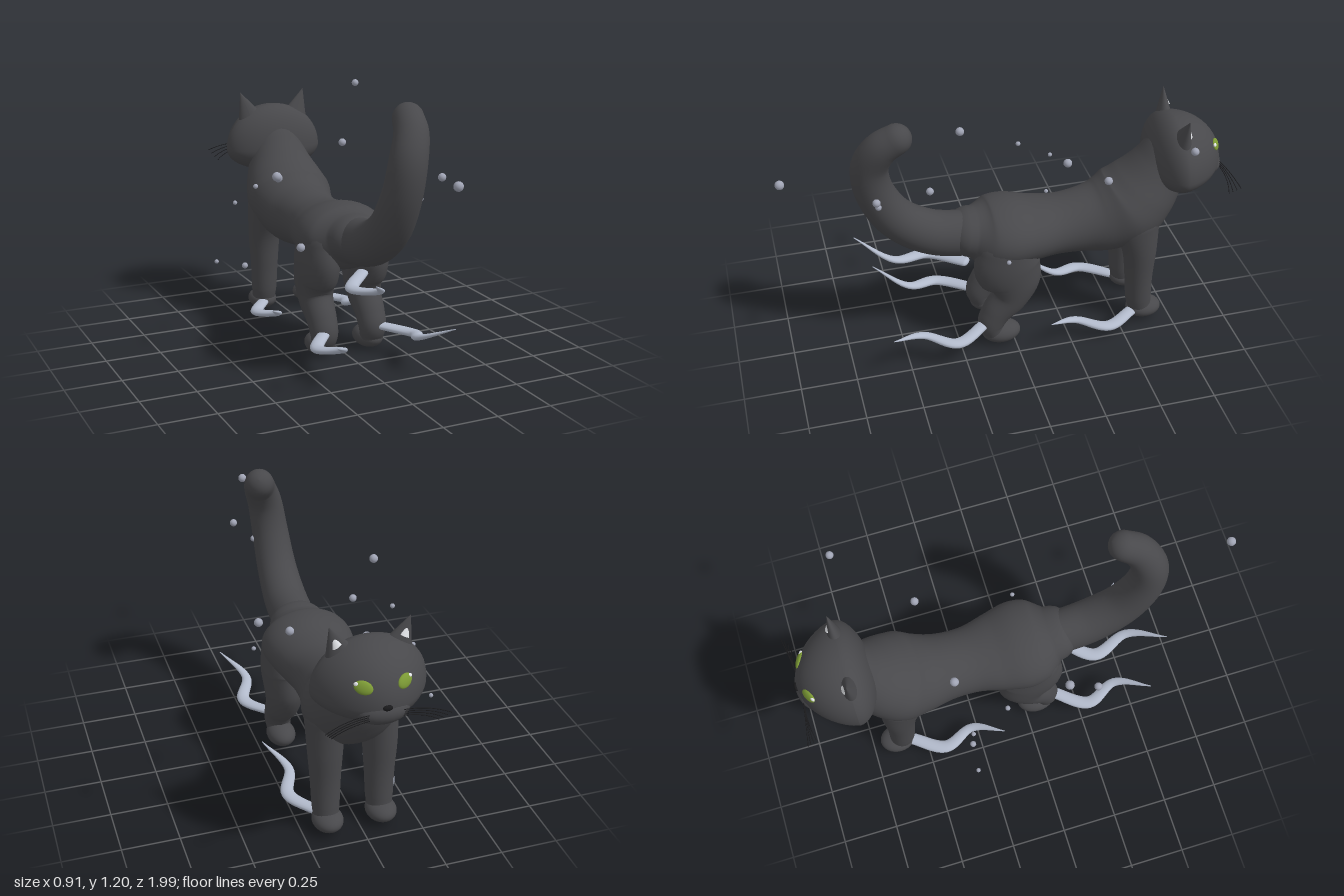
import * as THREE from 'three';

const mat = (name, color, side = THREE.FrontSide) => {
  const m = new THREE.MeshStandardMaterial({ color, side });
  m.name = name;
  return m;
};
const CX = 0.02; // symmetry plane of the cat

// Swept body through points [x, y, z, side radius, other radius], with rounded ends.
function sweep(points, steps = 40, sides = 28) {
  const path = new THREE.CatmullRomCurve3(points.map(p => new THREE.Vector3(p[0], p[1], p[2])));
  const radii = new THREE.CatmullRomCurve3(points.map(p => new THREE.Vector3(p[3], p[4], 0)), false, 'catmullrom');
  const rings = [];
  const ring = (t, shift, scale) => {
    const T = path.getTangent(t), R = radii.getPoint(t);
    const c = path.getPoint(t).addScaledVector(T, shift * Math.min(R.x, R.y));
    const S = new THREE.Vector3(1, 0, 0).addScaledVector(T, -T.x).normalize();
    const U = new THREE.Vector3().crossVectors(T, S);
    rings.push({ c, S, U, a: R.x * scale, b: R.y * scale });
  };
  const cap = k => [Math.sin(k * Math.PI / 12), Math.max(Math.cos(k * Math.PI / 12), 0.01)];
  for (let k = 6; k > 0; k--) ring(0, -cap(k)[0], cap(k)[1]);
  for (let i = 0; i <= steps; i++) ring(i / steps, 0, 1);
  for (let k = 1; k <= 6; k++) ring(1, cap(k)[0], cap(k)[1]);
  const pos = [], idx = [];
  rings.forEach((r, i) => {
    for (let j = 0; j < sides; j++) {
      const w = j / sides * Math.PI * 2;
      const p = r.c.clone().addScaledVector(r.S, Math.cos(w) * r.a).addScaledVector(r.U, Math.sin(w) * r.b);
      pos.push(p.x, p.y, p.z);
      if (i < rings.length - 1) {
        const a = i * sides + j, b = i * sides + (j + 1) % sides;
        idx.push(a, b, b + sides, a, b + sides, a + sides);
      }
    }
  });
  const g = new THREE.BufferGeometry();
  g.setAttribute('position', new THREE.Float32BufferAttribute(pos, 3));
  g.setIndex(idx);
  g.computeVertexNormals();
  return g;
}

// Moves every vertex of a geometry by a rule.
function reshape(g, rule) {
  const p = g.attributes.position, v = new THREE.Vector3();
  for (let i = 0; i < p.count; i++) {
    v.fromBufferAttribute(p, i);
    rule(v);
    p.setXYZ(i, v.x, v.y, v.z);
  }
  g.computeVertexNormals();
  return g;
}

export function createModel() {
  const model = new THREE.Group();
  model.name = 'cat';
  const fur = mat('charcoal fur', 0x48484b);
  const smoke = mat('silver smoke', 0xb2bacb);
  const orb = mat('grey orb', 0xa0a4b4);
  const green = mat('green iris', 0x7c9a35);
  const white = mat('white', 0xe6e8ec);
  const black = mat('black', 0x1a1a1c);
  const earMat = mat('ear fur', 0x48484b, THREE.DoubleSide);
  earMat.color = fur.color;

  const add = (name, geometry, material, parent = model) => {
    const m = new THREE.Mesh(geometry, material);
    m.name = name;
    parent.add(m);
    return m;
  };
  const blob = (name, material, pos, size, parent = model) => {
    const m = add(name, new THREE.SphereGeometry(1, 28, 18), material, parent);
    m.position.set(...pos);
    m.scale.set(...size);
    return m;
  };

  // Torso from rump to neck
  add('torso', sweep([
    [CX, 0.55, 0.17, 0.13, 0.11], [CX, 0.535, 0.1, 0.19, 0.14], [CX, 0.535, 0.01, 0.207, 0.147],
    [CX, 0.527, -0.1, 0.185, 0.133], [CX, 0.522, -0.22, 0.155, 0.13], [CX, 0.525, -0.34, 0.155, 0.143],
    [CX, 0.535, -0.45, 0.18, 0.165], [CX, 0.575, -0.55, 0.205, 0.178], [CX, 0.65, -0.63, 0.185, 0.16],
    [CX, 0.745, -0.7, 0.145, 0.132], [CX, 0.82, -0.75, 0.125, 0.12],
  ], 64, 36), fur);

  // Raised tail
  add('tail', sweep([
    [CX, 0.55, 0.12, 0.1, 0.1], [CX, 0.55, 0.22, 0.1, 0.105], [CX, 0.585, 0.36, 0.1, 0.1],
    [CX, 0.685, 0.5, 0.092, 0.092], [0.027, 0.84, 0.585, 0.085, 0.085], [0.045, 0.98, 0.6, 0.08, 0.08],
    [0.08, 1.08, 0.555, 0.073, 0.073], [0.1, 1.13, 0.49, 0.066, 0.066],
  ], 56), fur);

  // Head: broad cheeks, taller crown, narrowing towards the face
  const head = new THREE.Group();
  head.name = 'head';
  model.add(head);
  add('skull', reshape(new THREE.SphereGeometry(1, 48, 32), v => {
    const front = Math.max(0, -v.z);
    v.set(CX + v.x * 0.24 * (1 - 0.2 * front), 0.79 + v.y * (v.y > 0 ? 0.21 : 0.115),
      -0.76 + v.z * (v.z < 0 ? 0.215 : 0.12));
  }), fur, head);
  blob('muzzle', fur, [CX, 0.765, -0.918], [0.11, 0.058, 0.066], head);
  blob('nose', black, [CX, 0.802, -0.976], [0.02, 0.012, 0.01], head);

  // A cone leaning up to the ear tip; start and thickness set how much of the ear it covers
  const earCone = (s, start, end, thick, out) =>
    reshape(new THREE.ConeGeometry(1, 1, 28, 10, true), v => {
      const u = v.y + 0.5, t = start + (end - start) * u;
      v.set(CX + s * (0.115 + 0.05 * t + v.x * 0.065 * thick),
        0.915 + 0.15 * t - v.x * 0.035 * thick,
        -0.755 - 0.01 * t + v.z * 0.042 * thick - out * (1 - u));
    });

  for (const s of [1, -1]) {
    const side = s > 0 ? 'left' : 'right';
    const X = d => CX + s * d;

    // Ears with a light tuft inside
    add(side + 'Ear', earCone(s, 0, 1, 1, 0), earMat, head);
    const tuft = add(side + 'EarTuft', earCone(s, 0.45, 0.85, 0.28, 0.018), white, head);
    tuft.material = white;
    if (s < 0) tuft.geometry.index.array.reverse(), tuft.geometry.computeVertexNormals();
    if (s < 0) {
      const ear = head.getObjectByName('rightEar').geometry;
      ear.index.array.reverse();
      ear.computeVertexNormals();
    }

    // Slanted almond eyes facing out from the head
    const eye = new THREE.Group();
    eye.name = side + 'Eye';
    eye.position.set(X(0.083), 0.88, -0.93);
    eye.lookAt(X(0.083 + 0.5), 0.88 + 0.42, -0.93 - 1);
    head.add(eye);
    blob('iris', green, [0, 0, 0], [0.038, 0.027, 0.012], eye).rotation.z = s * -0.25;
    blob('eyeCorner', white, [s * -0.026, 0.012, 0.003], [0.012, 0.009, 0.007], eye);

    // Whiskers
    for (let i = 0; i < 4; i++) {
      const end = new THREE.Vector3(X(0.255 - 0.012 * i), 0.745 - 0.016 * i, -0.995 + 0.012 * i);
      const curve = new THREE.QuadraticBezierCurve3(
        new THREE.Vector3(X(0.06), 0.775 - 0.008 * i, -0.965),
        new THREE.Vector3(X(0.16), 0.785 - 0.012 * i, -0.975), end);
      add(side + 'Whisker', new THREE.TubeGeometry(curve, 10, 0.0018, 5), black, head);
    }

    // Front leg and paw
    add(side + 'FrontLeg', sweep([
      [X(0.115), 0.54, -0.57, 0.085, 0.11], [X(0.12), 0.4, -0.592, 0.076, 0.08],
      [X(0.12), 0.25, -0.597, 0.066, 0.065], [X(0.12), 0.12, -0.603, 0.06, 0.06],
      [X(0.12), 0.07, -0.61, 0.055, 0.055],
    ]), fur);
    blob(side + 'FrontPaw', fur, [X(0.12), 0.055, -0.63], [0.067, 0.045, 0.083]);

    // Hind leg with thigh and hock, and paw
    add(side + 'HindLeg', sweep([
      [X(0.115), 0.52, 0.035, 0.088, 0.13], [X(0.12), 0.42, 0.03, 0.09, 0.152],
      [X(0.12), 0.33, 0.005, 0.085, 0.128], [X(0.12), 0.25, 0.018, 0.077, 0.088],
      [X(0.12), 0.17, 0.08, 0.068, 0.068], [X(0.12), 0.11, 0.107, 0.063, 0.062],
      [X(0.12), 0.065, 0.1, 0.056, 0.05],
    ]), fur);
    blob(side + 'HindPaw', fur, [X(0.12), 0.05, 0.06], [0.066, 0.05, 0.09]);

    // Smoke trails from the heels
    add(side + 'FrontTrail', sweep([
      [X(0.14), 0.055, -0.57, 0.028, 0.016], [X(0.23), 0.06, -0.42, 0.03, 0.017],
      [X(0.185), 0.09, -0.28, 0.021, 0.013], [X(0.265), 0.157, -0.14, 0.002, 0.002],
    ], 30, 14), smoke);
    add(side + 'HindTrail', sweep([
      [X(0.13), 0.12, 0.13, 0.028, 0.016], [X(0.235), 0.115, 0.29, 0.03, 0.017],
      [X(0.185), 0.15, 0.43, 0.021, 0.013], [X(0.275), 0.222, 0.58, 0.002, 0.002],
    ], 30, 14), smoke);
  }

  // Smoke trail under the tail
  add('tailTrail', sweep([
    [0.04, 0.4, 0.2, 0.028, 0.016], [-0.08, 0.386, 0.35, 0.03, 0.017],
    [-0.035, 0.415, 0.51, 0.021, 0.013], [-0.13, 0.497, 0.67, 0.002, 0.002],
  ], 30, 14), smoke);

  // Floating orbs: x, y, z, radius
  [
    [0.436, 1.086, -0.685, 0.017], [0.054, 0.956, 0.977, 0.02], [0.2, 0.898, 0.602, 0.017],
    [0.227, 0.856, -0.394, 0.018], [-0.329, 0.853, 0.13, 0.02], [0.11, 0.812, 0.583, 0.014],
    [-0.319, 0.751, -0.141, 0.011], [-0.133, 0.731, -0.325, 0.02], [-0.355, 0.642, -0.307, 0.01],
    [-0.289, 0.578, 0.286, 0.018], [0.262, 0.53, 0.055, 0.01], [-0.446, 0.371, -0.32, 0.01],
    [-0.313, 0.338, -0.307, 0.014],
  ].forEach(([x, y, z, r]) => {
    const m = add('orb', new THREE.SphereGeometry(r, 16, 12), orb);
    m.position.set(x, y, z);
  });
  return model;
}
